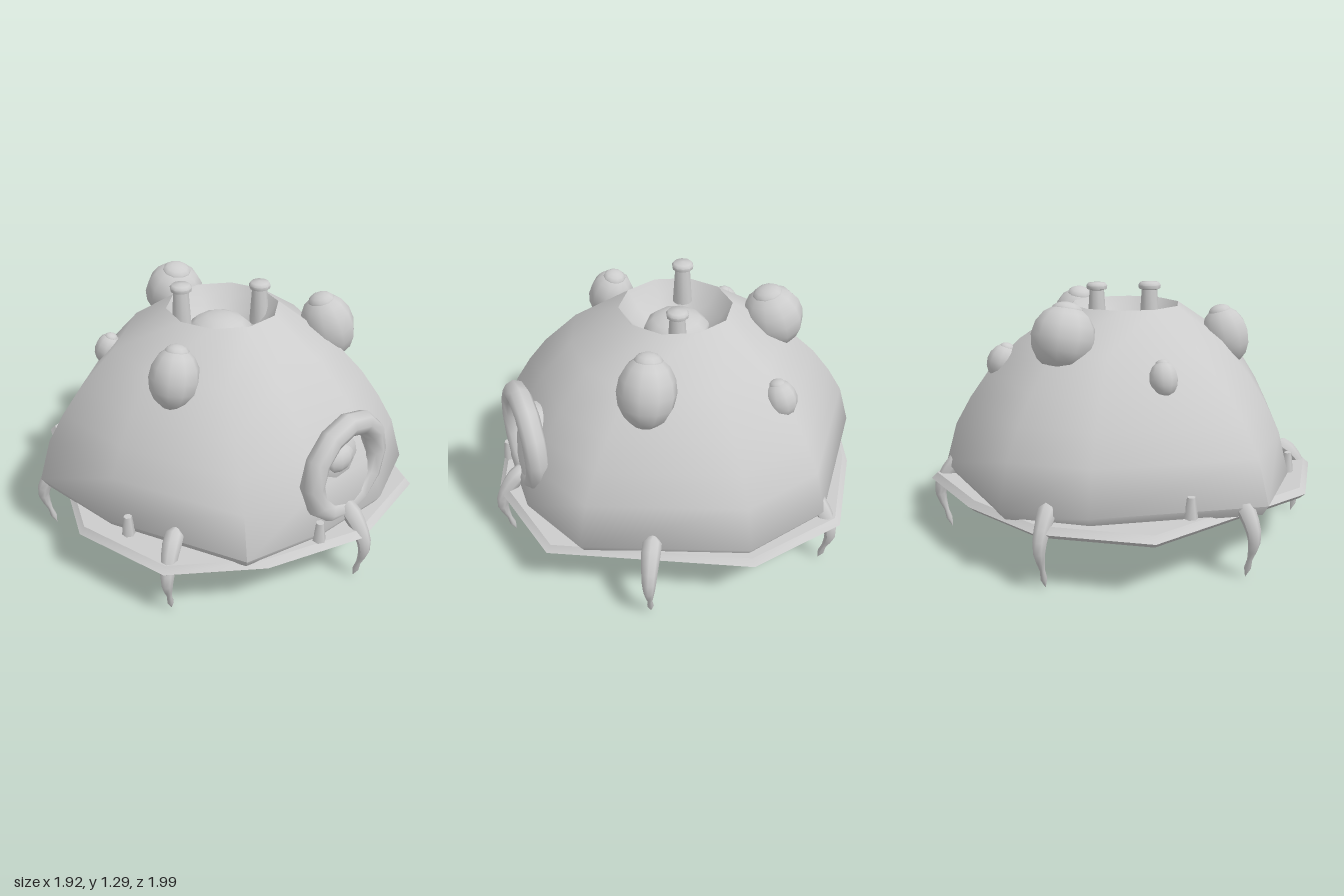
import * as THREE from 'three';
import { toCreasedNormals } from 'three/addons/utils/BufferGeometryUtils.js';

const clay = new THREE.MeshStandardMaterial({ color: 0xcccccc });
clay.name = 'plain grey';

// Joins a stack of closed rings, each a list of [x, y, z], into a skin
function loft(rings, crease = 0.9) {
  const n = rings[0].length;
  const index = [];
  for (let r = 0; r < rings.length - 1; r++) {
    for (let i = 0; i < n; i++) {
      const a = r * n + i, b = r * n + (i + 1) % n;
      index.push(a, a + n, b, b, a + n, b + n);
    }
  }
  const geometry = new THREE.BufferGeometry();
  geometry.setAttribute('position', new THREE.Float32BufferAttribute(rings.flat(2), 3));
  geometry.setIndex(index);
  return toCreasedNormals(geometry, crease);
}

// Round limb whose thickness follows a list of radii along its path
function taperedTube(points, radii, sides = 8) {
  const curve = new THREE.CatmullRomCurve3(points.map(p => new THREE.Vector3(...p)));
  const steps = radii.length - 1;
  const geometry = new THREE.TubeGeometry(curve, steps, 1, sides);
  const pos = geometry.attributes.position;
  const v = new THREE.Vector3();
  for (let i = 0; i < pos.count; i++) {
    const ring = Math.floor(i / (sides + 1));
    const centre = curve.getPointAt(ring / steps);
    v.fromBufferAttribute(pos, i).sub(centre).multiplyScalar(radii[ring]).add(centre);
    pos.setXYZ(i, v.x, v.y, v.z);
  }
  geometry.computeVertexNormals();
  return geometry;
}

export function createModel() {
  const model = new THREE.Group();
  const add = (name, geometry, parent = model) => {
    const mesh = new THREE.Mesh(geometry, clay);
    mesh.name = name;
    parent.add(mesh);
    return mesh;
  };
  const ball = (name, pos, size, parent) => {
    const mesh = add(name, new THREE.SphereGeometry(1, 10, 8), parent);
    mesh.position.set(...pos);
    mesh.scale.set(...size);
    return mesh;
  };

  // Thin uneven ten-sided base plate
  const plate = [[0.96, 0], [0.5, 0.87], [-0.02, 0.97], [-0.5, 0.8], [-0.87, 0.5],
    [-0.96, 0], [-0.51, -0.87], [0.02, -0.97], [0.46, -0.8], [0.87, -0.51]];
  const plateRings = [[0, 0.255], [0.97, 0.255], [1, 0.28], [0.97, 0.31], [0, 0.31]];
  add('basePlate', loft(plateRings.map(([k, y]) => plate.map(([x, z]) => [x * k, y, z * k])), 0.7));

  // Lopsided dome: an uneven skirt that blends into a regular rim, then a funnel
  const skirt = [[0.92, 0], [0.59, 0.73], [0.22, 0.88], [-0.2, 0.86], [-0.6, 0.76],
    [-0.85, 0.08], [-0.88, -0.42], [-0.2, -0.88], [0.21, -0.94], [0.82, -0.44]];
  const blendRing = (y, w, scale = 1) => skirt.map(([x, z], i) => {
    const a = i * Math.PI / 5;
    return [THREE.MathUtils.lerp(0.28 * Math.cos(a), x, w) * scale, y,
      THREE.MathUtils.lerp(0.28 * Math.sin(a), z, w) * scale];
  });
  add('dome', loft([
    blendRing(0.3, 1, 0.965), blendRing(0.35, 1), blendRing(0.56, 0.91),
    blendRing(0.7, 0.79), blendRing(0.83, 0.65), blendRing(1.0, 0.4), blendRing(1.17, 0),
  ], 1.2));
  add('craterWall', loft([blendRing(1.17, 0), blendRing(1.09, 0, 0.8), blendRing(1.02, 0, 0.5)]));
  ball('craterCore', [-0.01, 1.02, -0.01], [0.17, 0.1, 0.17]);

  // Two capped vents standing on the crater
  for (const [x, z, top] of [[-0.175, -0.11, 1.3], [0.19, 0.07, 1.26]]) {
    const vent = new THREE.Group();
    vent.name = 'vent';
    const profile = [[0.05, top - 0.22], [0.038, top - 0.04], [0.052, top - 0.035],
      [0.055, top - 0.018], [0.045, top - 0.004], [0, top]];
    add('ventStem', toCreasedNormals(new THREE.LatheGeometry(
      profile.map(([r, y]) => new THREE.Vector2(r, y)), 10), 0.9), vent);
    vent.position.set(x, 0, z);
    model.add(vent);
  }

  // Round window with a bulging lens
  const frame = add('windowFrame', new THREE.TorusGeometry(0.23, 0.058, 8, 12));
  frame.position.set(0, 0.6, 0.81);
  ball('windowLens', [-0.01, 0.62, 0.74], [0.16, 0.14, 0.08]);
  ball('windowPupil', [-0.02, 0.65, 0.79], [0.09, 0.07, 0.05]);

  // Egg-shaped lumps, each with a small nub: x, y, z, radius, half height
  const lumps = [[0.43, 1.02, 0.32, 0.14, 0.175], [-0.48, 1.01, 0.17, 0.12, 0.15],
    [0.11, 1.06, -0.48, 0.155, 0.16], [0.54, 0.88, -0.31, 0.082, 0.095],
    [-0.38, 0.9, -0.45, 0.068, 0.085]];
  for (const [x, y, z, r, h] of lumps) {
    const lump = new THREE.Group();
    lump.name = 'lump';
    ball('lumpBody', [0, 0, 0], [r, h, r], lump);
    ball('lumpNub', [0, h * 0.8, 0], [r * 0.5, h * 0.27, r * 0.5], lump);
    lump.position.set(x, y, z);
    lump.rotation.set(-z * 0.5, 0, x * 0.5);
    model.add(lump);
  }

  // Six bent legs ending in little claws
  const legGeometry = taperedTube(
    [[0.8, 0.41, 0], [0.89, 0.35, 0], [0.965, 0.22, 0], [0.94, 0.1, 0], [0.915, 0.01, 0]],
    [0.004, 0.045, 0.046, 0.042, 0.038, 0.034, 0.028, 0.02, 0.012, 0.016, 0.001]);
  for (let i = 0; i < 6; i++) {
    add('leg', legGeometry).rotation.y = Math.PI / 6 + i * Math.PI / 3;
  }

  // Small pegs poking out of the skirt
  for (const [x, z] of [[-0.22, 0.86], [-0.82, 0.2], [-0.58, -0.62]]) {
    add('peg', new THREE.CylinderGeometry(0.02, 0.032, 0.1, 6)).position.set(x, 0.37, z);
  }
  return model;
}
